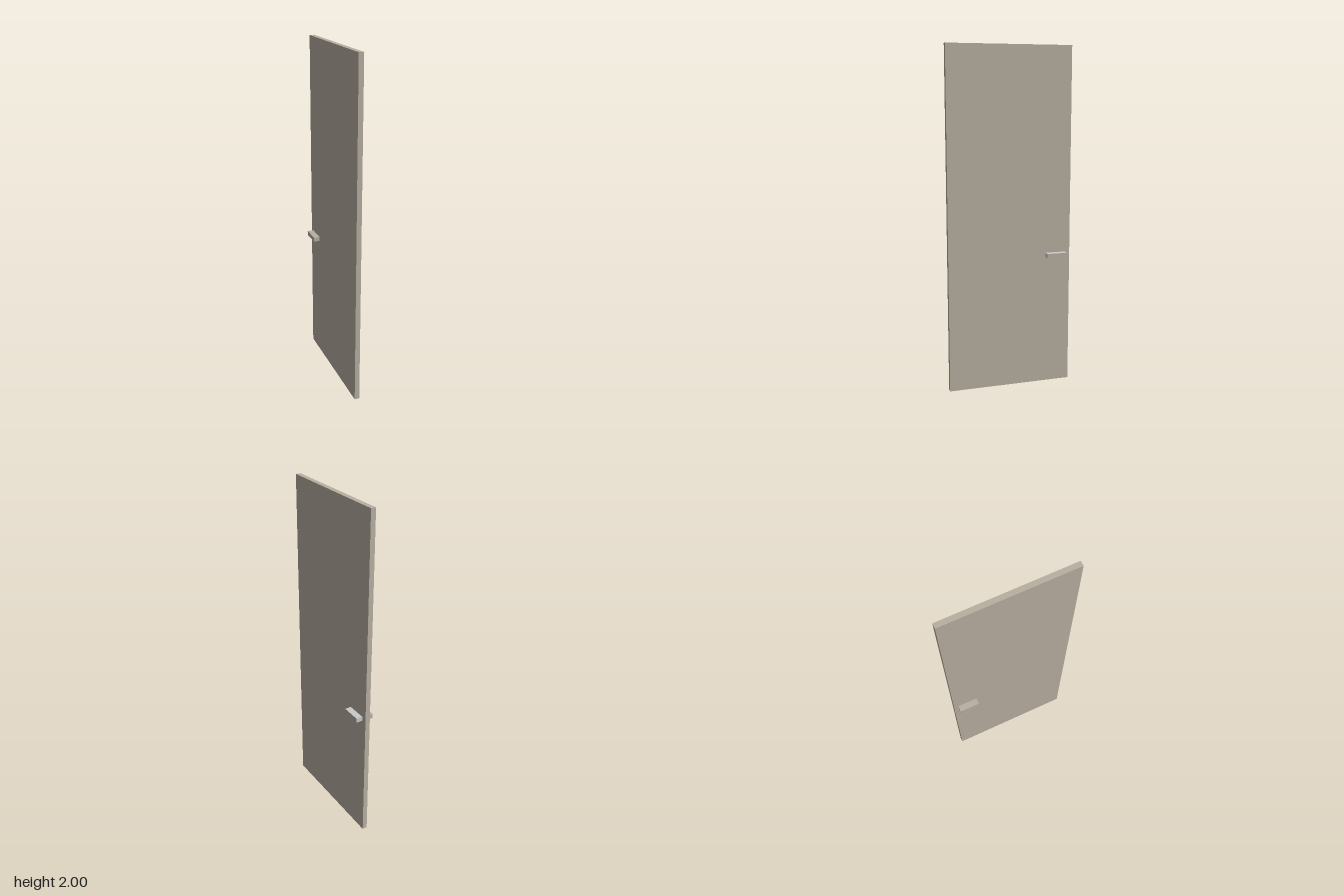
import * as THREE from 'three';

const paint = new THREE.MeshStandardMaterial({ color: 0xb9b0a2 });
paint.name = 'beigePaint';
const metal = new THREE.MeshStandardMaterial({ color: 0xcacaca });
metal.name = 'lightGrey';

// Box placed by its lower and upper corners
function block(name, [x0, y0, z0], [x1, y1, z1], material) {
  const mesh = new THREE.Mesh(new THREE.BoxGeometry(x1 - x0, y1 - y0, z1 - z0), material);
  mesh.position.set((x0 + x1) / 2, (y0 + y1) / 2, (z0 + z1) / 2);
  mesh.name = name;
  return mesh;
}

export function createModel() {
  const door = new THREE.Group();
  door.name = 'door';

  // Door leaf, standing edge-on to the front
  door.add(block('doorPanel', [-0.015, 0, -0.37], [0.014, 2, 0.37], paint));

  // Handles: the left one is grey with a painted outer face (+x)
  door.add(block('leftHandle', [0.014, 0.772, -0.338], [0.052, 0.798, -0.218],
    [paint, metal, metal, metal, metal, metal]));
  door.add(block('rightHandle', [-0.052, 0.772, -0.344], [-0.015, 0.798, -0.224], paint));

  return door;
}
